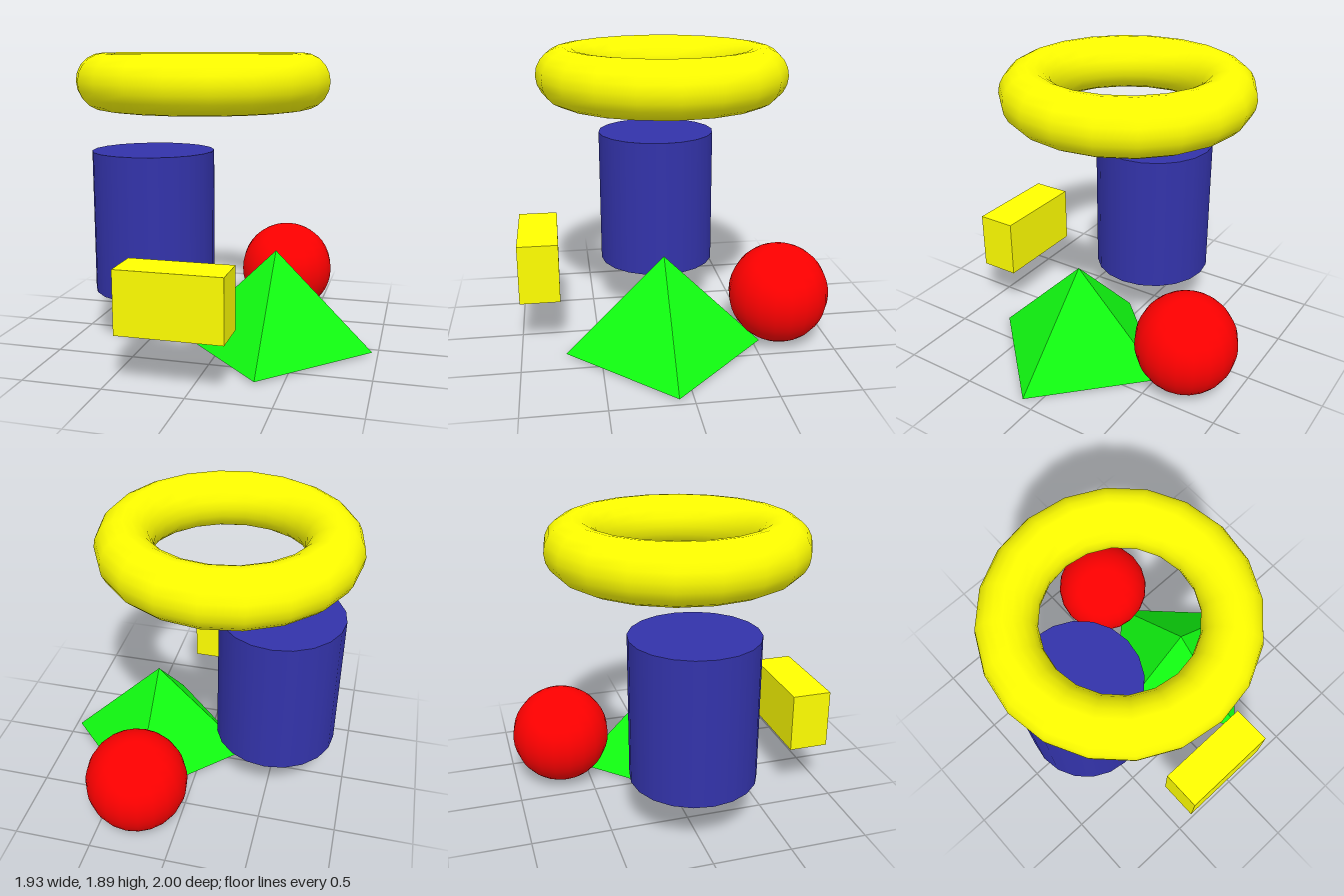
import * as THREE from 'three';

const SIDES = 20;

export function createModel() {
  const model = new THREE.Group();

  const add = (name, geometry, color, [x, y, z], flatShading = false) => {
    const material = new THREE.MeshStandardMaterial({ color, flatShading });
    const mesh = new THREE.Mesh(geometry, material);
    mesh.name = name;
    mesh.position.set(x, y, z);
    model.add(mesh);
  };

  // Ring lying flat above the other solids
  const ring = new THREE.TorusGeometry(0.633, 0.176, SIDES, SIDES).rotateX(-Math.PI / 2);
  add('ring', ring, 0xffff00, [-0.157, 1.715, 0.03]);

  // Upright closed cylinder
  add('cylinder', new THREE.CylinderGeometry(0.4, 0.4, 0.93, SIDES), 0x3333aa, [-0.505, 0.795, 0.03]);

  // Box in front
  add('box', new THREE.BoxGeometry(0.646, 0.386, 0.258), 0xffff00, [-0.093, 0.523, 0.871]);

  // Ball at the back
  add('ball', new THREE.SphereGeometry(0.325, SIDES, SIDES), 0xff0000, [0.27, 0.325, -0.675]);

  // Square pyramid with its corners on the axes
  add('pyramid', new THREE.ConeGeometry(0.63, 0.63, 4), 0x11ff11, [0.335, 0.33, 0.09], true);

  return model;
}
